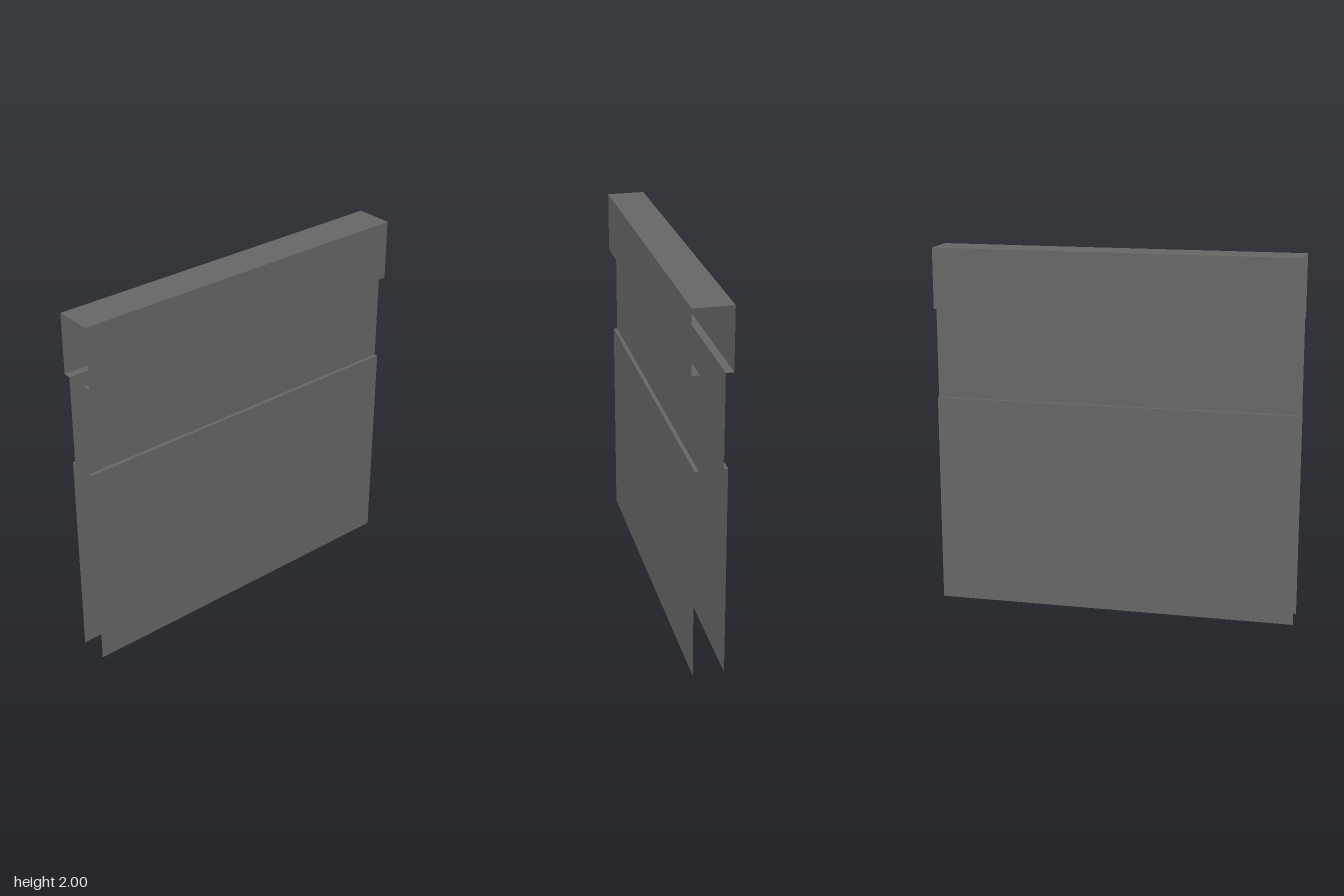
import * as THREE from 'three';

const HALF_LENGTH = 1;

// Sheet swept along z from a polyline of [x, y] points, outside on the right of travel
function sweepSheet(points) {
  const positions = [];
  for (let i = 0; i < points.length - 1; i++) {
    const [ax, ay] = points[i];
    const [bx, by] = points[i + 1];
    const z = HALF_LENGTH;
    positions.push(
      ax, ay, z, ax, ay, -z, bx, by, -z,
      ax, ay, z, bx, by, -z, bx, by, z
    );
  }
  const geometry = new THREE.BufferGeometry();
  geometry.setAttribute('position', new THREE.Float32BufferAttribute(positions, 3));
  geometry.computeVertexNormals();
  return geometry;
}

export function createModel() {
  const group = new THREE.Group();
  group.name = 'steppedPanel';

  const grey = new THREE.MeshStandardMaterial({ color: 0x666666, side: THREE.DoubleSide });
  grey.name = 'darkGrey';

  const add = (name, points) => {
    const mesh = new THREE.Mesh(sweepSheet(points), grey);
    mesh.name = name;
    group.add(mesh);
  };

  // Half widths and heights of the three tiers
  const capX = 0.104, neckX = 0.0625, skirtX = 0.083;
  const topY = 2, capY = 1.667, neckY = 1.167;

  // Cap: closed on top, with a lip turned in under each side
  add('cap', [[neckX, capY], [capX, capY], [capX, topY], [-capX, topY], [-capX, capY], [-neckX, capY]]);

  // Neck and skirt walls on both sides; the ends and bottom stay open
  add('leftNeck', [[neckX, neckY], [neckX, capY]]);
  add('rightNeck', [[-neckX, capY], [-neckX, neckY]]);
  add('leftSkirt', [[skirtX, 0], [skirtX, neckY], [neckX, neckY]]);
  add('rightSkirt', [[-neckX, neckY], [-skirtX, neckY], [-skirtX, 0]]);

  return group;
}
